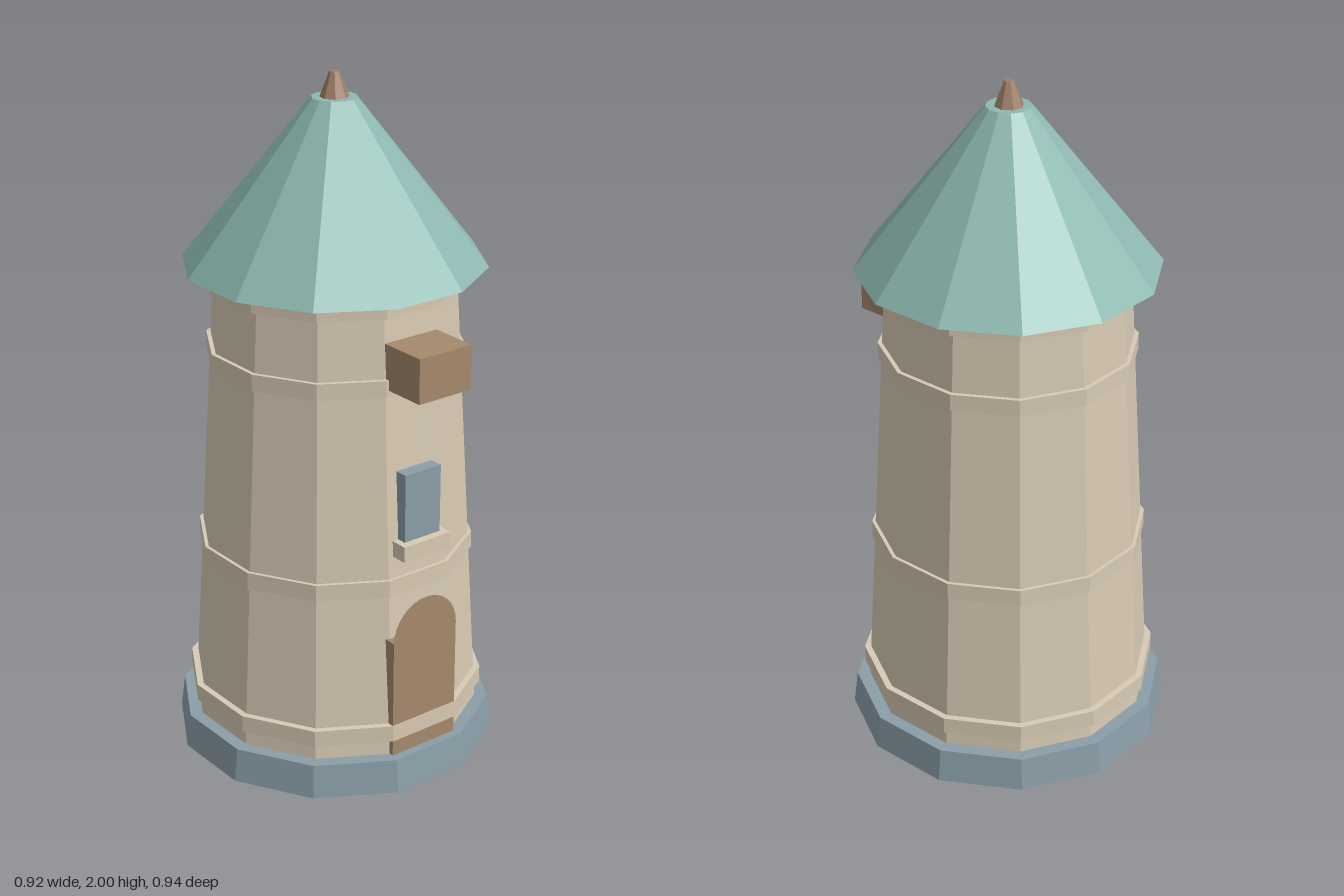
import * as THREE from 'three';

const SIDES = 12;
const AXIS_Z = -0.016;

function material(name, color) {
  const m = new THREE.MeshStandardMaterial({ color, flatShading: true });
  m.name = name;
  return m;
}

export function createModel() {
  const stone = material('cream stone', 0xd8cab4);
  const slate = material('blue slate', 0x8a9ea8);
  const copper = material('green copper', 0x8cb8b0);
  const wood = material('brown wood', 0xa58a6c);
  const finialWood = material('finial brown', 0xa08068);

  const model = new THREE.Group();
  model.name = 'tower';

  function add(name, geometry, mat, x, y, z) {
    const mesh = new THREE.Mesh(geometry, mat);
    mesh.name = name;
    mesh.position.set(x, y, z);
    model.add(mesh);
    return mesh;
  }

  // Twelve-sided drum with a flat face to the front; sizes are centre-to-face
  function drum(name, bottom, top, y0, y1, mat) {
    const k = 1 / Math.cos(Math.PI / SIDES);
    const geometry = new THREE.CylinderGeometry(top * k, bottom * k, y1 - y0, SIDES);
    geometry.rotateY(Math.PI / SIDES);
    return add(name, geometry, mat, 0, (y0 + y1) / 2, AXIS_Z);
  }

  // Box given by half width, height range and depth range
  function block(name, halfWidth, y0, y1, z0, z1, mat) {
    const geometry = new THREE.BoxGeometry(halfWidth * 2, y1 - y0, z1 - z0);
    return add(name, geometry, mat, 0, (y0 + y1) / 2, (z0 + z1) / 2);
  }

  // Main body
  drum('plinth', 0.459, 0.447, 0, 0.1, slate);
  drum('towerWall', 0.41, 0.332, 0.1, 1.46, stone);
  drum('roof', 0.418, 0.062, 1.46, 1.93, copper);

  // Ring courses: centre-to-face size, bottom, top
  [
    [0.423, 0.148, 0.198],
    [0.389, 0.595, 0.645],
    [0.357, 1.185, 1.234],
    [0.356, 1.41, 1.459],
  ].forEach(([r, y0, y1], i) => drum(`ringCourse${i + 1}`, r, r, y0, y1, stone));

  // Roof tip
  const tip = new THREE.CylinderGeometry(0.014, 0.041, 0.07, 8);
  tip.rotateY(0.2);
  add('finial', tip, finialWood, 0, 1.965, AXIS_Z);

  // Door with a round head
  block('door', 0.114, 0.1, 0.463, 0.34, 0.405, wood);
  const arch = new THREE.CircleGeometry(0.114, 16, 0, Math.PI);
  add('doorArch', arch, wood, 0, 0.463, 0.405);

  // Window, sill and overhanging box
  block('window', 0.063, 0.755, 0.96, 0.32, 0.385, slate);
  block('windowSill', 0.083, 0.71, 0.757, 0.33, 0.409, stone);
  block('hoistBox', 0.09, 1.205, 1.335, 0.29, 0.47, wood);

  return model;
}
